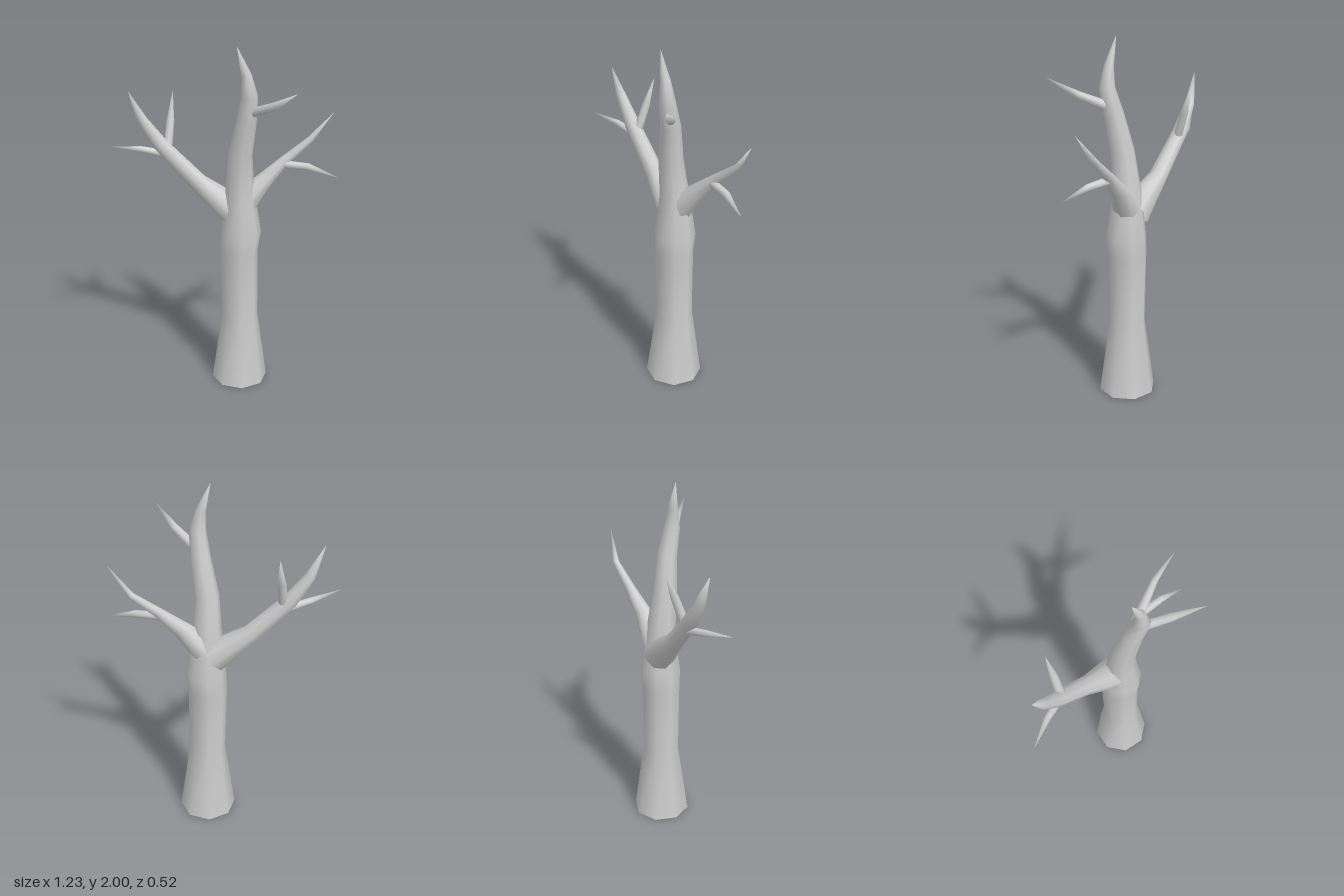
import * as THREE from 'three';

const SIDES = 8;

// Tapered limb: rings of vertices along a path of [x, y, z, radius], closed to a point at the last one.
function limb(name, path, material) {
  const pts = path.map(([x, y, z]) => new THREE.Vector3(x, y, z));
  const last = pts.length - 1;
  const pos = [], idx = [];
  const first = pts[last].clone().sub(pts[0]).normalize();
  const ref = Math.abs(first.z) > 0.8 ? new THREE.Vector3(1, 0, 0) : new THREE.Vector3(0, 0, 1);
  for (let i = 0; i < last; i++) {
    const t = pts[i + 1].clone().sub(pts[i]).normalize();
    if (i > 0) t.add(pts[i].clone().sub(pts[i - 1]).normalize()).normalize();
    const u = t.clone().cross(ref).normalize();
    const v = t.clone().cross(u);
    for (let j = 0; j < SIDES; j++) {
      const a = (j / SIDES) * Math.PI * 2;
      const p = pts[i].clone()
        .addScaledVector(u, Math.cos(a) * path[i][3])
        .addScaledVector(v, Math.sin(a) * path[i][3]);
      pos.push(p.x, p.y, p.z);
    }
  }
  pos.push(...pts[last].toArray());
  for (let i = 0; i < last; i++) {
    for (let j = 0; j < SIDES; j++) {
      const a = i * SIDES + j, b = i * SIDES + (j + 1) % SIDES;
      if (i === last - 1) idx.push(a, b, last * SIDES);
      else idx.push(a, b, b + SIDES, a, b + SIDES, a + SIDES);
    }
  }
  const geometry = new THREE.BufferGeometry();
  geometry.setAttribute('position', new THREE.Float32BufferAttribute(pos, 3));
  geometry.setIndex(idx);
  geometry.computeVertexNormals();
  const mesh = new THREE.Mesh(geometry, material);
  mesh.name = name;
  return mesh;
}

export function createModel() {
  const group = new THREE.Group();
  group.name = 'bareTree';
  const bark = new THREE.MeshStandardMaterial({ color: 0xcccccc, side: THREE.DoubleSide });

  const limbs = {
    // flared foot, slight bulge under the fork, crooked pointed top
    trunk: [
      [0.09, 0, -0.07, 0.16], [0.09, 0.42, -0.07, 0.102], [0.083, 0.83, -0.07, 0.106],
      [0.094, 0.94, -0.065, 0.112], [0.085, 1.18, -0.065, 0.08], [0.083, 1.4, -0.037, 0.066],
      [0.112, 1.6, -0.003, 0.054], [0.122, 1.74, 0.033, 0.044], [0.105, 1.85, 0.03, 0.027],
      [0.055, 2, 0.015, 0],
    ],
    // large branch on the right with two twigs
    rightBranch: [
      [0.05, 1.06, -0.095, 0.09], [-0.14, 1.215, -0.135, 0.052], [-0.34, 1.425, -0.165, 0.043],
      [-0.435, 1.565, -0.172, 0.029], [-0.505, 1.73, -0.165, 0],
    ],
    rightOuterTwig: [
      [-0.3, 1.37, -0.17, 0.024], [-0.45, 1.41, -0.15, 0.018], [-0.615, 1.445, -0.105, 0],
    ],
    rightUpperTwig: [
      [-0.305, 1.38, -0.16, 0.026], [-0.283, 1.55, -0.215, 0.022], [-0.265, 1.7, -0.262, 0],
    ],
    // slimmer branch on the left with one twig
    leftBranch: [
      [0.11, 1.11, -0.08, 0.08], [0.22, 1.23, -0.09, 0.048], [0.34, 1.345, -0.102, 0.028],
      [0.475, 1.455, -0.11, 0.019], [0.59, 1.615, -0.07, 0],
    ],
    leftTwig: [
      [0.31, 1.32, -0.1, 0.024], [0.46, 1.315, -0.055, 0.02], [0.615, 1.27, 0.01, 0],
    ],
    // twig near the top, pointing forward
    frontTwig: [
      [0.13, 1.645, 0.015, 0.027], [0.235, 1.71, 0.13, 0.023], [0.337, 1.81, 0.262, 0],
    ],
  };
  for (const [name, path] of Object.entries(limbs)) group.add(limb(name, path, bark));
  return group;
}
